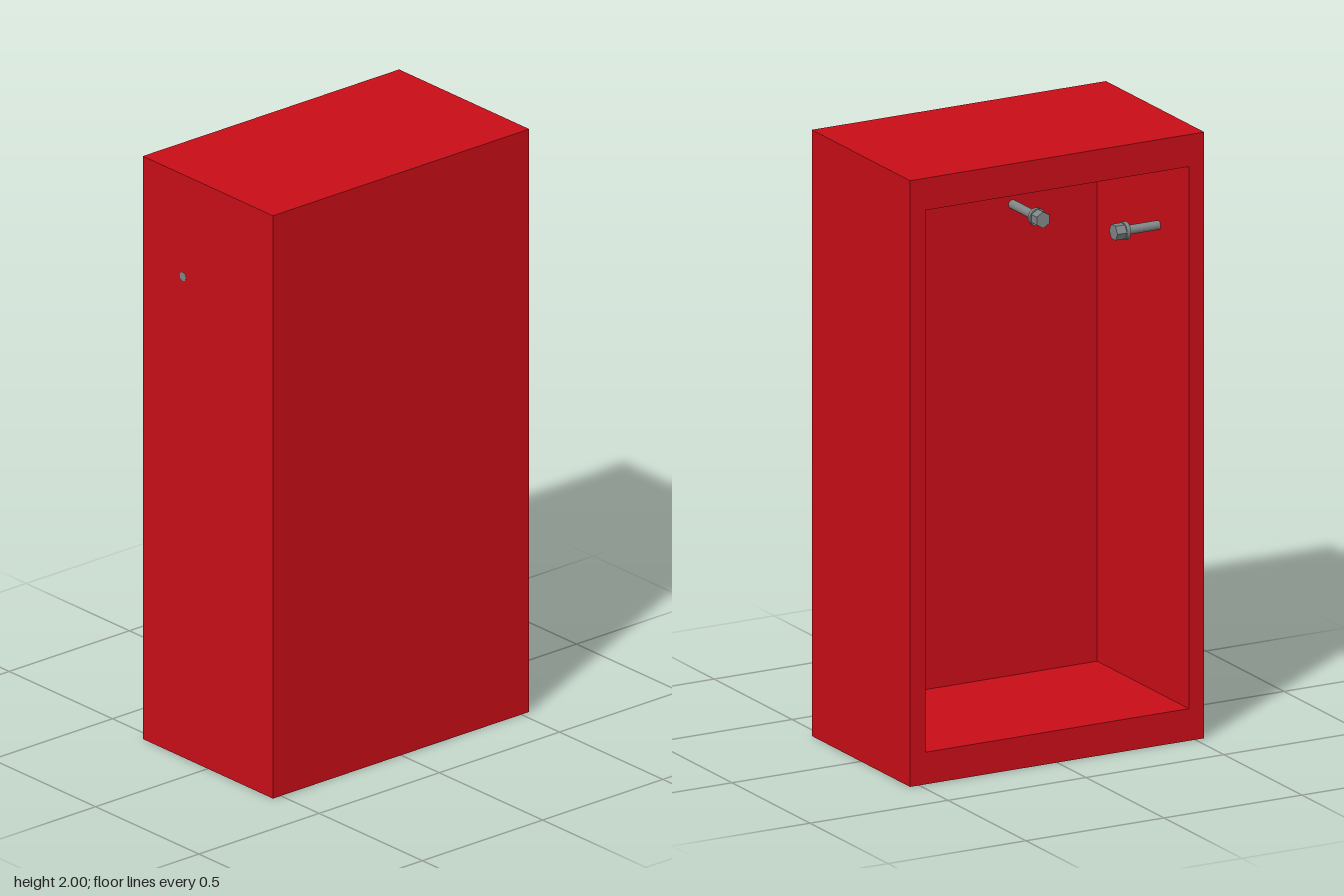
import * as THREE from 'three';

const W = 1.066, H = 2, D = 0.63;      // outer size
const SIDE = 0.056, RIM = 0.106;       // side walls, top and bottom walls
const FRONT = 0.043;                   // front panel thickness

const red = new THREE.MeshStandardMaterial({ color: 0xc80d17 });
const steel = new THREE.MeshStandardMaterial({ color: 0x808585, flatShading: true });

function part(name, geometry, material) {
  const mesh = new THREE.Mesh(geometry, material);
  mesh.name = name;
  return mesh;
}

// Corners of a rectangle centred on x = 0
function rectangle(path, halfWidth, bottom, top) {
  path.moveTo(-halfWidth, bottom);
  path.lineTo(halfWidth, bottom);
  path.lineTo(halfWidth, top);
  path.lineTo(-halfWidth, top);
  path.closePath();
  return path;
}

// Bolt along +y: threaded end at y = 0, head at y = 0.22
function makeBolt(name) {
  const bolt = new THREE.Group();
  bolt.name = name;
  const pieces = [
    ['shaft', 0.015, 0.18, 0, 16],
    ['collar', 0.029, 0.014, 0.172, 20],
    ['hexHead', 0.027, 0.034, 0.186, 6],
  ];
  for (const [label, radius, length, start, sides] of pieces) {
    const geometry = new THREE.CylinderGeometry(radius, radius, length, sides);
    geometry.translate(0, start + length / 2, 0);
    bolt.add(part(label, geometry, steel));
  }
  return bolt;
}

export function createModel() {
  const model = new THREE.Group();
  model.name = 'openBackCabinet';

  // Four walls around the open back
  const outline = rectangle(new THREE.Shape(), W / 2, 0, H);
  outline.holes.push(rectangle(new THREE.Path(), W / 2 - SIDE, RIM, H - RIM));
  const walls = new THREE.ExtrudeGeometry(outline, { depth: D - FRONT, bevelEnabled: false });
  walls.translate(0, 0, -D / 2);
  model.add(part('walls', walls, red));

  // Closed front
  const front = part('frontPanel', new THREE.BoxGeometry(W, H, FRONT), red);
  front.position.set(0, H / 2, D / 2 - FRONT / 2);
  model.add(front);

  // Bolt through the right wall, head inside
  const sideBolt = makeBolt('sideBolt');
  sideBolt.rotation.z = -Math.PI / 2;
  sideBolt.position.set(-W / 2 - 0.001, 1.65, -0.12);
  model.add(sideBolt);

  // Bolt in the front panel, head inside
  const frontBolt = makeBolt('frontBolt');
  frontBolt.rotation.x = -Math.PI / 2;
  frontBolt.position.set(-0.17, 1.66, D / 2 - 0.02);
  model.add(frontBolt);

  return model;
}
